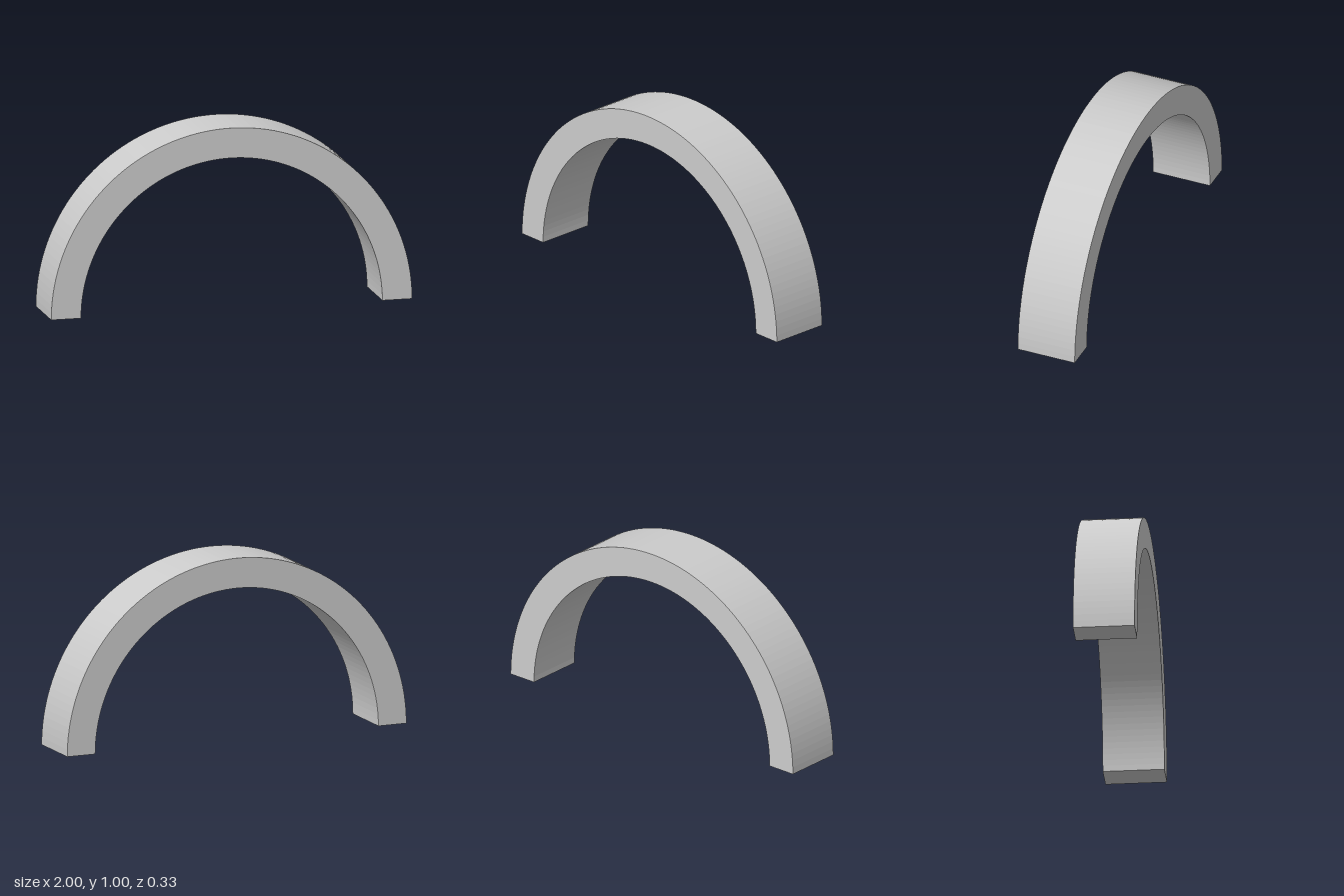
import * as THREE from 'three';

const OUTER = 1;
const INNER = 0.835;
const DEPTH = 0.332;
const SEGMENTS = 40;

export function createModel() {
  const group = new THREE.Group();
  group.name = 'archModel';

  // Half-ring profile, standing on its two feet
  const profile = new THREE.Shape();
  profile.absarc(0, 0, OUTER, 0, Math.PI, false);
  profile.absarc(0, 0, INNER, Math.PI, 0, true);
  profile.closePath();

  // Faceted arch, centred front to back
  const geometry = new THREE.ExtrudeGeometry(profile, {
    depth: DEPTH,
    bevelEnabled: false,
    curveSegments: SEGMENTS,
  });
  geometry.translate(0, 0, -DEPTH / 2);

  const arch = new THREE.Mesh(
    geometry,
    new THREE.MeshStandardMaterial({ color: 0xcccccc, flatShading: true })
  );
  arch.name = 'arch';
  group.add(arch);
  return group;
}
